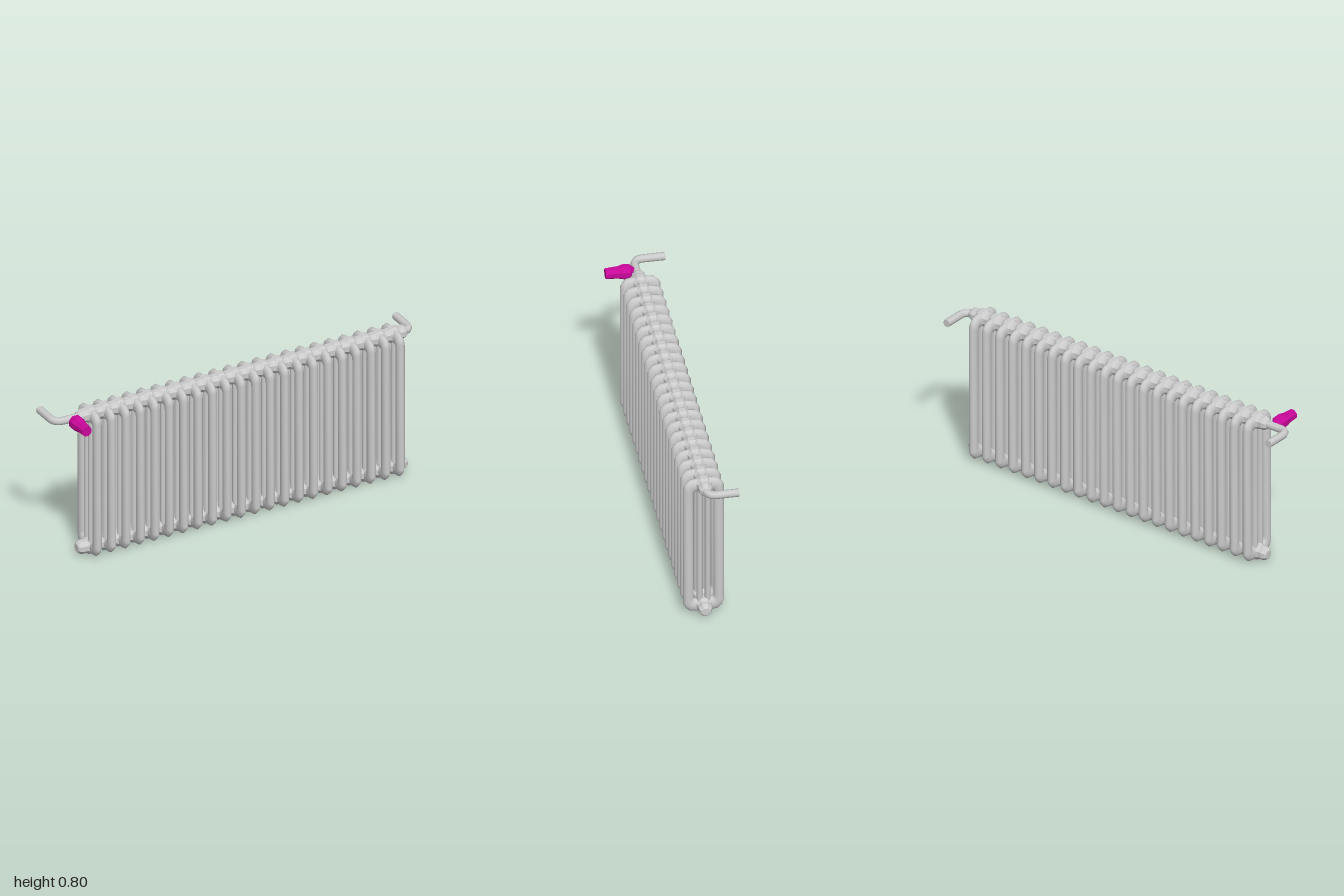
import * as THREE from 'three';

const grey = new THREE.MeshStandardMaterial({ color: 0xcccccc });
const greyFlat = new THREE.MeshStandardMaterial({ color: 0xcccccc, flatShading: true });
const magenta = new THREE.MeshStandardMaterial({ color: 0xc8089a, flatShading: true });

const COUNT = 22, FIRST = -0.79, PITCH = 0.0794;
const LAST = FIRST + (COUNT - 1) * PITCH;
const MID = 0.396, TOP = 0.754, BOTTOM = 0.04;

function add(parent, name, geometry, material, x = 0, y = 0, z = 0) {
  const mesh = new THREE.Mesh(geometry, material);
  mesh.name = name;
  mesh.position.set(x, y, z);
  parent.add(mesh);
  return mesh;
}

// Octagonal turned part; profile is [radius, distance along the axis]
function turned(profile) {
  return new THREE.LatheGeometry(profile.map(p => new THREE.Vector2(p[0], p[1])), 8, Math.PI / 8);
}

// Closed loop of oval section lying between an outer and an inner outline in the zy plane
function loopGeometry() {
  // [outer z, outer y, inner z, inner y], heights measured from the middle
  const quarter = [
    [0.1, 0.342, 0.049, 0.30], [0.09, 0.366, 0.049, 0.312], [0.07, 0.386, 0.044, 0.319],
    [0.04, 0.391, 0.03, 0.319], [0, 0.394, 0, 0.319],
  ];
  const half = [...quarter, ...quarter.slice(0, -1).reverse().map(([a, b, c, d]) => [-a, b, -c, d])];
  const path = [...half, ...half.map(([a, b, c, d]) => [-a, -b, -c, -d])];
  const sides = 12, n = path.length, positions = [], index = [];
  path.forEach(([oz, oy, iz, iy], i) => {
    for (let j = 0; j < sides; j++) {
      const a = (j / sides) * Math.PI * 2;
      const t = (1 + Math.cos(a)) / 2;
      positions.push(0.021 * Math.sin(a), iy + (oy - iy) * t, iz + (oz - iz) * t);
      const i2 = (i + 1) % n, j2 = (j + 1) % sides;
      const p = i * sides + j, q = i * sides + j2, r = i2 * sides + j, s = i2 * sides + j2;
      index.push(p, q, r, q, s, r);
    }
  });
  const g = new THREE.BufferGeometry();
  g.setAttribute('position', new THREE.Float32BufferAttribute(positions, 3));
  g.setIndex(index);
  g.computeVertexNormals();
  return g;
}

// Pipe leaving the radiator along x and bending towards the wall; side is +1 or -1
function pipe(parent, side, startX) {
  const r = 0.02, bend = 0.05, endX = side * 0.98, endZ = -0.155;
  const v = (x, z) => new THREE.Vector3(x, TOP, z);
  const curve = new THREE.CurvePath();
  const corner = endX - side * bend;
  if (Math.abs(corner - startX) > 0.001) curve.add(new THREE.LineCurve3(v(startX, 0), v(corner, 0)));
  curve.add(new THREE.QuadraticBezierCurve3(v(corner, 0), v(endX, 0), v(endX, -bend)));
  curve.add(new THREE.LineCurve3(v(endX, -bend), v(endX, endZ)));
  const name = side > 0 ? 'leftPipe' : 'rightPipe';
  add(parent, name, new THREE.TubeGeometry(curve, 24, r, 8), grey);
  add(parent, name + 'End', new THREE.CircleGeometry(r, 8), grey, endX, TOP, endZ).rotation.y = Math.PI;
}

export function createModel() {
  const model = new THREE.Group();
  model.name = 'radiator';

  // Sections: outer loop, two inner columns and a flared hub at top and bottom
  const loop = loopGeometry();
  const column = new THREE.CylinderGeometry(1, 1, 0.66, 10, 1, true);
  column.scale(0.019, 1, 0.0145);
  const hub = turned([
    [0.034, -PITCH / 2], [0.036, -0.026], [0.044, -0.014],
    [0.044, 0.014], [0.036, 0.026], [0.034, PITCH / 2],
  ]);
  hub.rotateZ(-Math.PI / 2);
  for (let i = 0; i < COUNT; i++) {
    const section = new THREE.Group();
    section.name = 'section' + (i + 1);
    section.position.x = FIRST + i * PITCH;
    add(section, 'outerLoop', loop, grey, 0, MID, 0);
    for (const z of [-0.02, 0.02]) add(section, 'innerColumn', column, grey, 0, MID, z);
    for (const y of [BOTTOM, TOP]) add(section, 'hub', hub, greyFlat, 0, y, 0);
    model.add(section);
  }

  // End plugs on all four hub ends
  const plug = turned([[0.035, 0.015], [0.035, 0.05], [0.03, 0.064], [0.022, 0.072], [0, 0.072]]);
  for (const side of [-1, 1]) {
    for (const y of [BOTTOM, TOP]) {
      const p = add(model, 'endPlug', plug, greyFlat, side > 0 ? LAST : FIRST, y, 0);
      p.rotation.z = -side * Math.PI / 2;
    }
  }

  // Supply and return pipes
  pipe(model, 1, 0.93);
  pipe(model, -1, -0.84);

  // Thermostat valve facing forward
  const valve = turned([
    [0, 0], [0.012, 0], [0.02, 0.018], [0.036, 0.036], [0.038, 0.06],
    [0.036, 0.075], [0.031, 0.09], [0.027, 0.153], [0, 0.153],
  ]);
  add(model, 'thermostatValve', valve, magenta, -0.89, TOP, 0).rotation.x = Math.PI / 2;

  return model;
}
